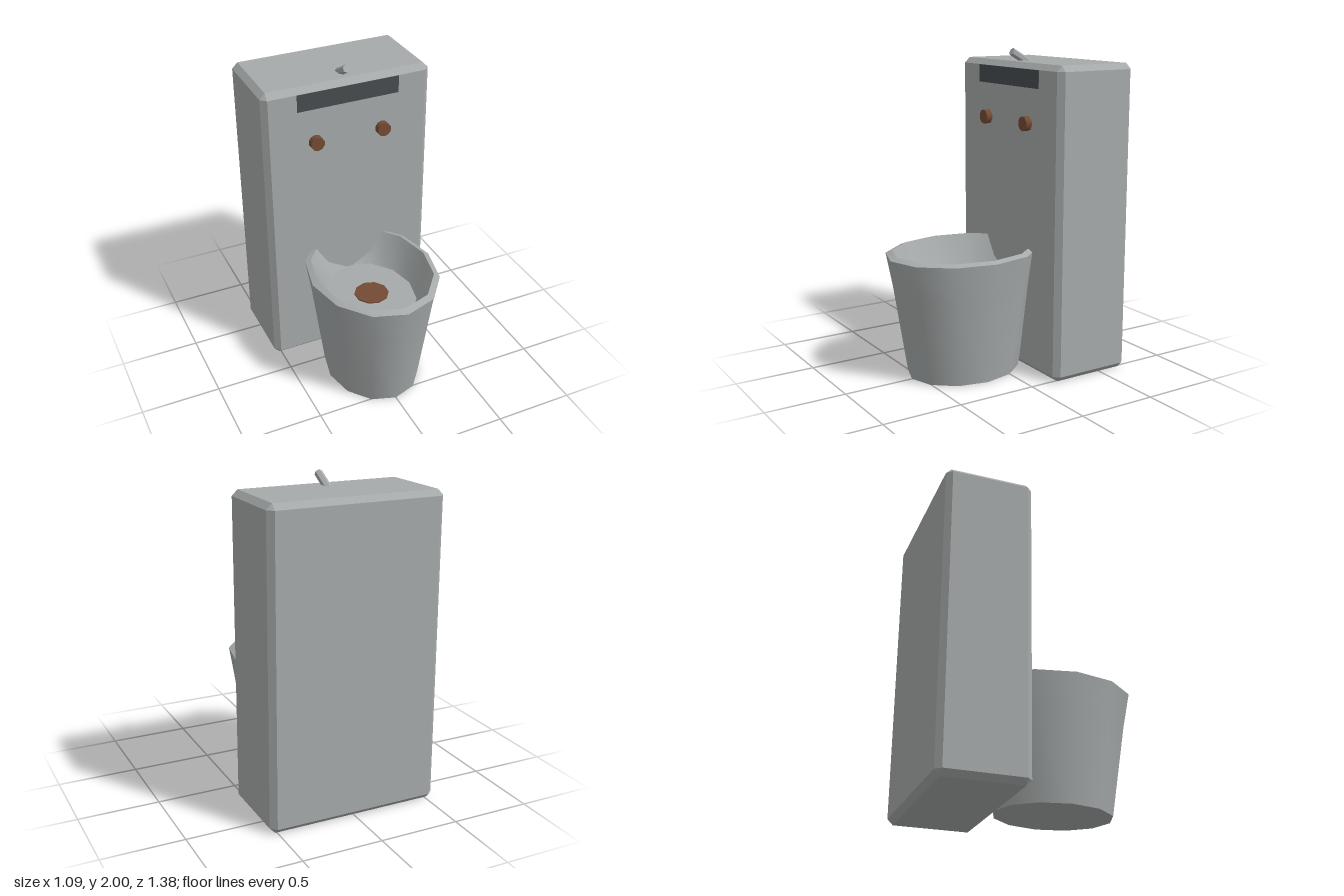
import * as THREE from 'three';
import { toCreasedNormals } from 'three/addons/utils/BufferGeometryUtils.js';
import { ConvexGeometry } from 'three/addons/geometries/ConvexGeometry.js';

function material(name, color) {
  const m = new THREE.MeshStandardMaterial({ color });
  m.name = name;
  return m;
}

// Box with flat chamfers: each corner becomes three points
function chamferedBox(w, h, d, c) {
  const pts = [];
  for (const x of [-1, 1]) for (const y of [-1, 1]) for (const z of [-1, 1]) {
    for (let axis = 0; axis < 3; axis++) {
      const p = [w / 2 - c, h / 2 - c, d / 2 - c];
      p[axis] += c;
      pts.push(new THREE.Vector3(p[0] * x, p[1] * y, p[2] * z));
    }
  }
  return new ConvexGeometry(pts);
}

export function createModel() {
  const group = new THREE.Group();
  const steel = material('steel grey', 0xa6aaaa);
  const rust = material('rusty brown', 0x734b33);
  const dark = material('dark grey', 0x484c50);

  function add(name, geometry, mat, x, y, z) {
    const mesh = new THREE.Mesh(geometry, mat);
    mesh.name = name;
    mesh.position.set(x, y, z);
    group.add(mesh);
    return mesh;
  }

  // Tall cabinet standing behind the bowl
  add('cabinet', chamferedBox(1.09, 1.92, 0.545, 0.035), steel, 0, 0.96, -0.4175);

  // Dark strip flush with the top of the cabinet front
  add('frontPanel', new THREE.BoxGeometry(0.66, 0.11, 0.004), dark, 0, 1.829, -0.1455);

  // Oval twelve-sided bowl: outer wall, sloping rim, inner wall and floor
  const profile = [[0, 0], [0.295, 0], [0.365, 0.55], [0.4, 0.77], [0.365, 0.785], [0.27, 0.58], [0, 0.58]]
    .map(([r, y]) => new THREE.Vector2(r, y));
  const bowl = new THREE.LatheGeometry(profile, 12);
  bowl.scale(1, 1, 1.25);
  add('bowl', toCreasedNormals(bowl, 0.7), steel, 0, 0, 0.185);

  // Drain disc on the bowl floor
  add('drain', new THREE.CylinderGeometry(0.109, 0.109, 0.008, 10), rust, 0, 0.584, 0.185);

  // Pair of push buttons
  for (const side of [-1, 1]) {
    const button = new THREE.CylinderGeometry(0.045, 0.045, 0.06, 10);
    button.rotateX(Math.PI / 2);
    add(side > 0 ? 'leftButton' : 'rightButton', button, rust, side * 0.22, 1.56, -0.135);
  }

  // Six-sided spout rising forwards out of the cabinet top
  const tilt = Math.PI / 6, length = 0.2;
  const spout = toCreasedNormals(new THREE.CylinderGeometry(0.025, 0.025, length, 6), 0.7);
  spout.rotateX(Math.PI / 2 - tilt);
  add('spout', spout, steel, 0, 1.978 - Math.sin(tilt) * length / 2, -0.173 - Math.cos(tilt) * length / 2);

  return group;
}
